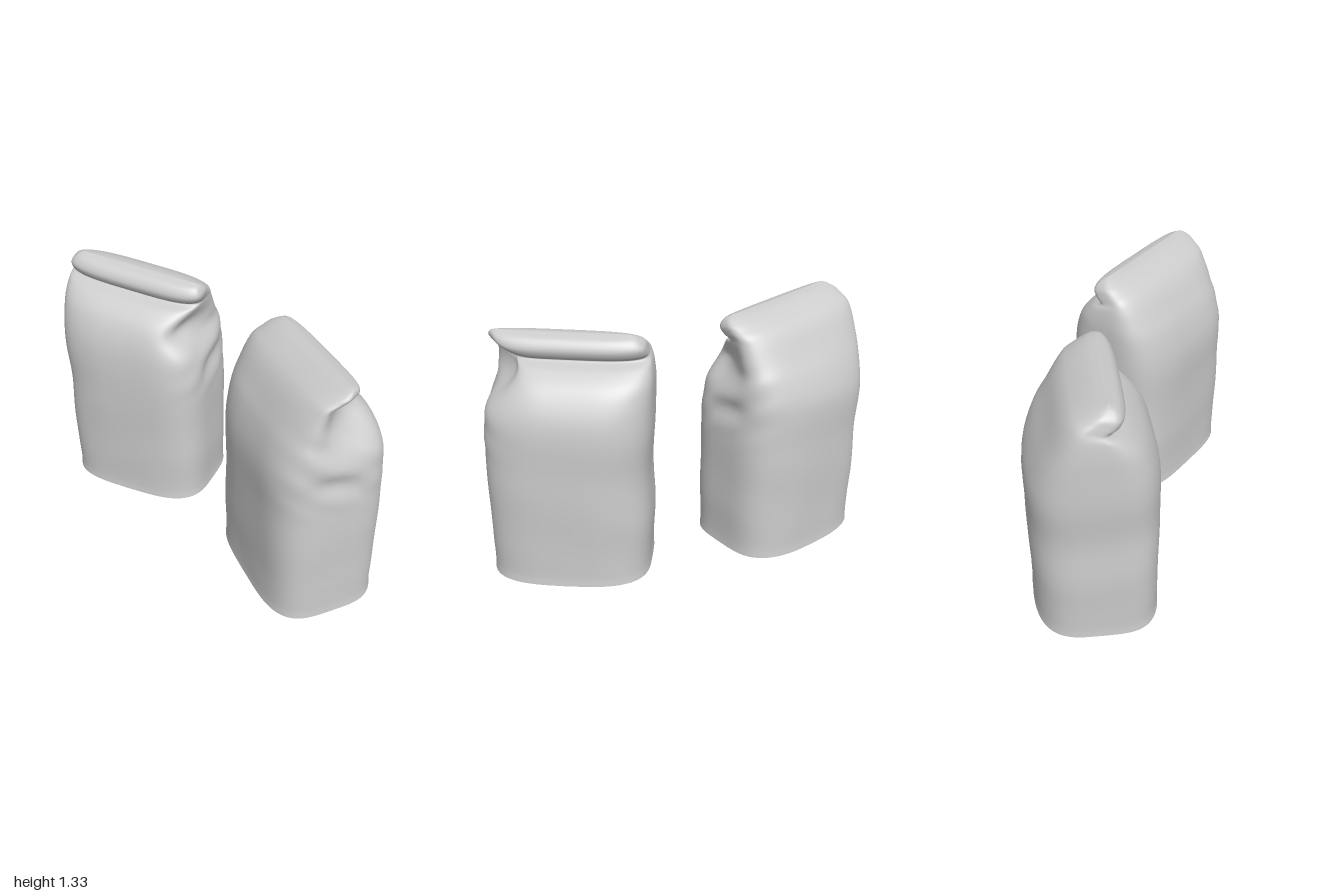
import * as THREE from 'three';

const V = (a, b, c) => new THREE.Vector3(a, b, c);
const smooth = THREE.MathUtils.smoothstep;
const bump = (x, mid, width) => Math.exp(-(((x - mid) / width) ** 2));

// Each row is one tilted cross-section, from the open base up to the rolled lip:
// [lip side depth, height], [roof side depth, height], left end, right end, squareness
const SECTIONS = [
  [0.285, 0.00, -0.300, 0.00, -0.394, 0.408, 3.7],
  [0.281, 0.05, -0.297, 0.05, -0.392, 0.405, 3.7],
  [0.284, 0.32, -0.300, 0.32, -0.402, 0.408, 3.7],
  [0.286, 0.60, -0.303, 0.60, -0.396, 0.406, 3.6],
  [0.283, 0.82, -0.300, 0.84, -0.413, 0.402, 3.6],
  [0.258, 0.97, -0.265, 0.99, -0.418, 0.390, 3.6],
  [0.215, 1.06, -0.222, 1.08, -0.417, 0.380, 3.6],
  [0.140, 1.125, -0.170, 1.17, -0.408, 0.370, 3.6],
  [0.075, 1.155, -0.130, 1.215, -0.395, 0.368, 3.6],
  [0.105, 1.175, -0.090, 1.242, -0.388, 0.372, 3.6],
  [0.122, 1.215, -0.050, 1.262, -0.378, 0.374, 3.6],
  [0.098, 1.262, -0.010, 1.277, -0.345, 0.355, 3.4],
  [0.045, 1.284, 0.035, 1.285, -0.310, 0.320, 3],
];

// Closed paper bag; side = +1 or -1 chooses which way the rolled lip faces
function bagGeometry({ side, length, lipBulge, roofBulge, pinch, lift, tilt, phase }) {
  const lipCurve = new THREE.CatmullRomCurve3(SECTIONS.map(s => V(s[0], s[1], s[4])));
  const roofCurve = new THREE.CatmullRomCurve3(SECTIONS.map(s => V(s[2], s[3], s[5])));
  const rings = 84, around = 80;
  const pos = [], index = [];
  for (let i = 0; i <= rings; i++) {
    const t = i / rings;
    const lip = lipCurve.getPoint(t), roof = roofCurve.getPoint(t);
    const row = t * (SECTIONS.length - 1), k = Math.min(Math.floor(row), SECTIONS.length - 2);
    const power = 2 / THREE.MathUtils.lerp(SECTIONS[k][6], SECTIONS[k + 1][6], row - k);
    for (let j = 0; j < around; j++) {
      const a = (j / around) * Math.PI * 2, c = Math.cos(a), s = Math.sin(a);
      const ex = Math.sign(c) * Math.abs(c) ** power;
      const ez = Math.sign(s) * Math.abs(s) ** power;
      let x = length * THREE.MathUtils.lerp(lip.z, roof.z, (ex + 1) / 2);
      let z = THREE.MathUtils.lerp(roof.x, lip.x, (ez + 1) / 2);
      let y = THREE.MathUtils.lerp(roof.y, lip.y, (ez + 1) / 2);

      // bulging broad walls
      z += ez * (ez > 0 ? lipBulge : roofBulge) * (1 - ex * ex) * (1 - smooth(y, 0.85, 1.15));

      // soft paper ripples
      const body = smooth(y, 0.03, 0.25) * (1 - smooth(y, 1.0, 1.12));
      const ripple = 0.003 * body * Math.sin(9 * y + 7 * x + phase) * Math.cos(11 * x - 6 * y + 3 * z);
      z += ez * ripple;
      x += ex * ripple;

      // right end: folded-in gusset below the lip, and a dent in the wall
      const end = Math.max(0, ex) ** 2;
      x -= end * (pinch.depth * bump(y, pinch.height, pinch.width) * smooth(ez, -0.8, 0.6)
        + 0.022 * bump(y, 0.81, 0.055) * bump(z, -0.03, 0.15)
        - 0.004 * body * smooth(y, 0.6, 0.8) * Math.sin(38 * y + 22 * z));

      // lean of the rolled top
      y += smooth(y, 0.85, 1.2) * (lift - tilt * x / 0.38);
      pos.push(x, y, z * side);
    }
  }
  for (let i = 0; i < rings; i++) for (let j = 0; j < around; j++) {
    const a = i * around + j, b = i * around + (j + 1) % around;
    const c = a + around, d = b + around;
    if (side > 0) index.push(a, c, b, b, c, d);
    else index.push(a, b, c, b, d, c);
  }
  // close the top seam
  const top = rings * around;
  for (let j = 0; j < around / 2; j++) {
    const a = top + j, b = top + j + 1;
    const c = top + (around - j) % around, d = top + around - j - 1;
    if (side > 0) index.push(a, c, b, b, c, d);
    else index.push(a, b, c, b, d, c);
  }
  const geo = new THREE.BufferGeometry();
  geo.setAttribute('position', new THREE.Float32BufferAttribute(pos, 3));
  geo.setIndex(index);
  geo.computeVertexNormals();
  return geo;
}

export function createModel() {
  const group = new THREE.Group();
  group.name = 'paperBags';
  const material = new THREE.MeshStandardMaterial({ color: 0xcccccc, side: THREE.DoubleSide });
  const bags = [
    {
      name: 'rightBag', x: -0.571, turn: 0.36, side: 1, length: 1, lipBulge: 0.01, roofBulge: 0.035,
      pinch: { depth: 0.11, height: 1.03, width: 0.1 }, lift: 0.022, tilt: 0.028, phase: 0,
    },
    {
      name: 'leftBag', x: 0.567, turn: -0.39, side: -1, length: 1.03, lipBulge: 0.025, roofBulge: 0,
      pinch: { depth: 0.16, height: 1.11, width: 0.125 }, lift: -0.005, tilt: -0.006, phase: 2,
    },
  ];
  for (const b of bags) {
    const bag = new THREE.Mesh(bagGeometry(b), material);
    bag.name = b.name;
    bag.position.x = b.x;
    bag.rotation.y = b.turn;
    group.add(bag);
  }
  return group;
}
